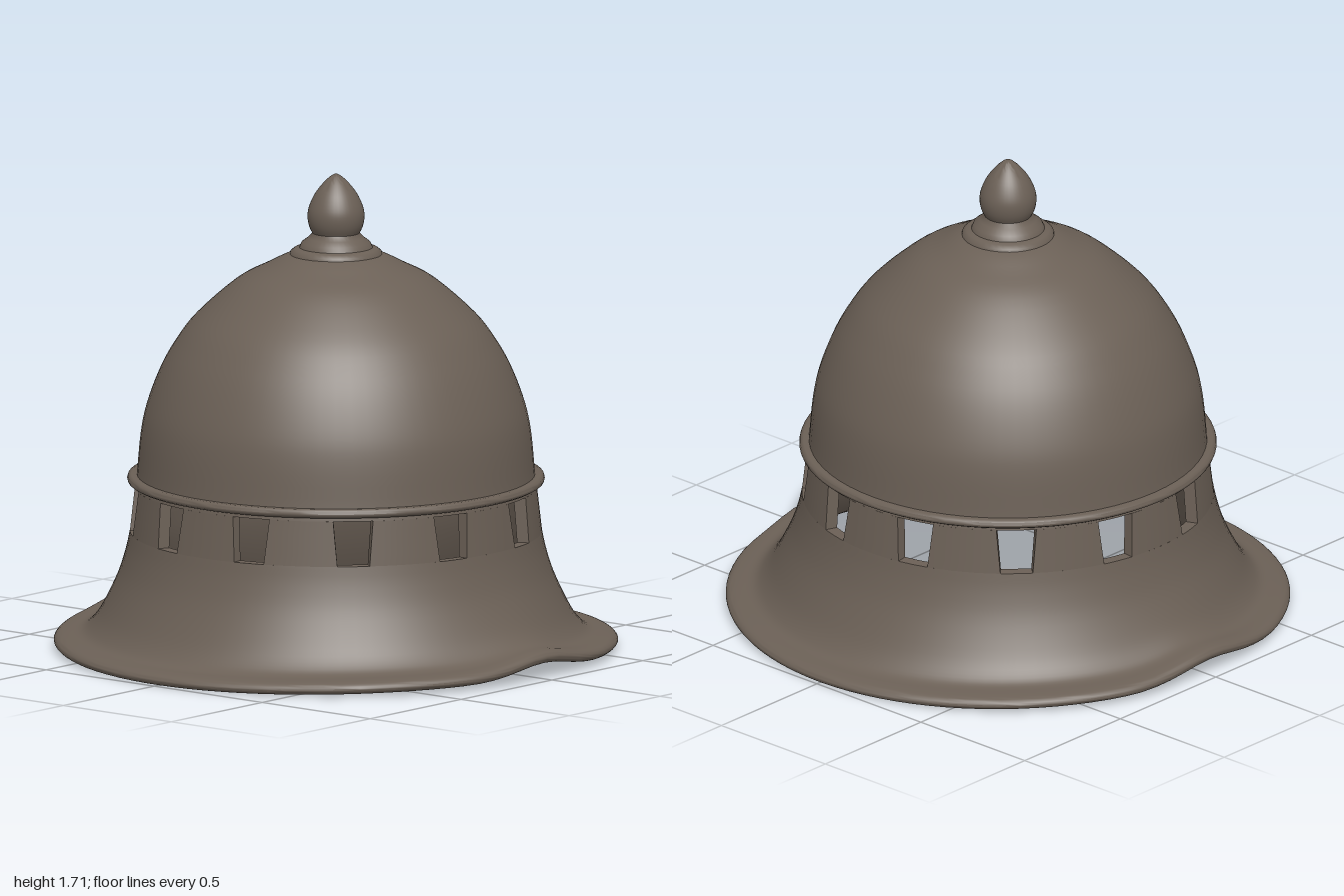
import * as THREE from 'three';
import { toCreasedNormals } from 'three/addons/utils/BufferGeometryUtils.js';

const WINDOWS = 12;
const SILL = 0.43, HEAD = 0.59; // bottom and top of the window openings

const curve = (pts, n) =>
  new THREE.SplineCurve(pts.map(([x, y]) => new THREE.Vector2(x, y))).getPoints(n);
const points = (pts) => pts.map(([x, y]) => new THREE.Vector2(x, y));

// Outer radius of the wall between sill and head
const wallRadius = (y) => THREE.MathUtils.mapLinear(y, SILL, HEAD, 0.73, 0.712);
const WALL = 0.045;

export function createModel() {
  const group = new THREE.Group();
  const bronze = new THREE.MeshStandardMaterial({ color: 0x6b6056 });
  bronze.name = 'dark bronze';

  const add = (name, geometry, crease = 0.7) => {
    const mesh = new THREE.Mesh(toCreasedNormals(geometry, crease), bronze);
    mesh.name = name;
    group.add(mesh);
    return mesh;
  };

  // Flared skirt with a rolled brim: closed profile, outside up then inside down
  const skirtProfile = [
    ...curve([[0.95, 0.006], [0.985, 0.01], [1.0, 0.027], [0.985, 0.045], [0.95, 0.052], [0.905, 0.058],
      [0.87, 0.085], [0.83, 0.145], [0.775, 0.265], [0.745, 0.36], [0.73, SILL]], 36),
    ...curve([[0.73 - WALL, SILL], [0.70, 0.34], [0.735, 0.23], [0.79, 0.11], [0.84, 0.045],
      [0.89, 0.015], [0.95, 0.006]], 20),
  ];
  const skirt = new THREE.LatheGeometry(skirtProfile, 96);
  const p = skirt.attributes.position;
  for (let i = 0; i < p.count; i++) {
    let x = p.getX(i);
    const z = p.getZ(i), r = Math.hypot(x, z);
    // The rim arches up at both sides and is slightly flattened there
    const w = THREE.MathUtils.smoothstep(r, 0.7, 0.93);
    const lift = 0.038 * Math.exp(-((z / 0.19) ** 2)) + 0.02 * (1 - Math.min(1, z * z));
    if (Math.abs(x) > 0.93) x = Math.sign(x) * (0.93 + (Math.abs(x) - 0.93) * 0.72);
    p.setXYZ(i, x, p.getY(i) + w * lift, z);
  }
  add('skirt', skirt);

  // Posts between the windows, widening toward the sill
  const pitch = (Math.PI * 2) / WINDOWS;
  for (let k = 0; k < WINDOWS; k++) {
    const post = new THREE.BoxGeometry(1, 1, 1, 6, 4, 1);
    const q = post.attributes.position;
    for (let i = 0; i < q.count; i++) {
      const t = q.getY(i) + 0.5;
      const y = THREE.MathUtils.lerp(SILL, HEAD, t);
      const gap = THREE.MathUtils.lerp(0.158, 0.2, t);
      const a = k * pitch + q.getX(i) * (pitch - gap);
      const r = wallRadius(y) + (q.getZ(i) - 0.5) * WALL;
      q.setXYZ(i, r * Math.sin(a), y, r * Math.cos(a));
    }
    add('windowPost' + (k + 1), post);
  }

  // Hollow dome, starting at the heads of the windows
  const domeProfile = [
    new THREE.Vector2(0.712 - WALL, HEAD),
    ...curve([[0.712, HEAD], [0.705, 0.64], [0.692, 0.78], [0.672, 0.88], [0.628, 1.0], [0.575, 1.1],
      [0.5, 1.2], [0.36, 1.325], [0.25, 1.385], [0.15, 1.43], [0, 1.45]], 40),
    ...curve([[0, 1.405], [0.2, 1.36], [0.33, 1.29], [0.46, 1.175], [0.58, 1.0], [0.645, 0.8],
      [0.712 - WALL, HEAD]], 28),
  ];
  add('dome', new THREE.LatheGeometry(domeProfile, 72));

  // Raised moulding above the windows
  add('moulding', new THREE.LatheGeometry(points([
    [0.69, 0.6], [0.725, 0.604], [0.737, 0.611], [0.74, 0.62], [0.737, 0.63], [0.725, 0.635], [0.69, 0.635],
  ]), 72), 0.9);

  // Stepped collar under the finial
  add('collar', new THREE.LatheGeometry(points([
    [0.165, 1.415], [0.162, 1.435], [0.148, 1.446], [0.13, 1.45], [0.122, 1.468], [0.1, 1.484],
    [0.084, 1.5], [0.082, 1.52],
  ]), 40), 0.9);

  // Bud-shaped finial
  add('finial', new THREE.LatheGeometry(curve([
    [0.08, 1.495], [0.095, 1.525], [0.101, 1.56], [0.096, 1.595], [0.076, 1.64], [0.046, 1.68],
    [0.018, 1.706], [0, 1.715],
  ], 24), 40), 0.9);

  return group;
}
